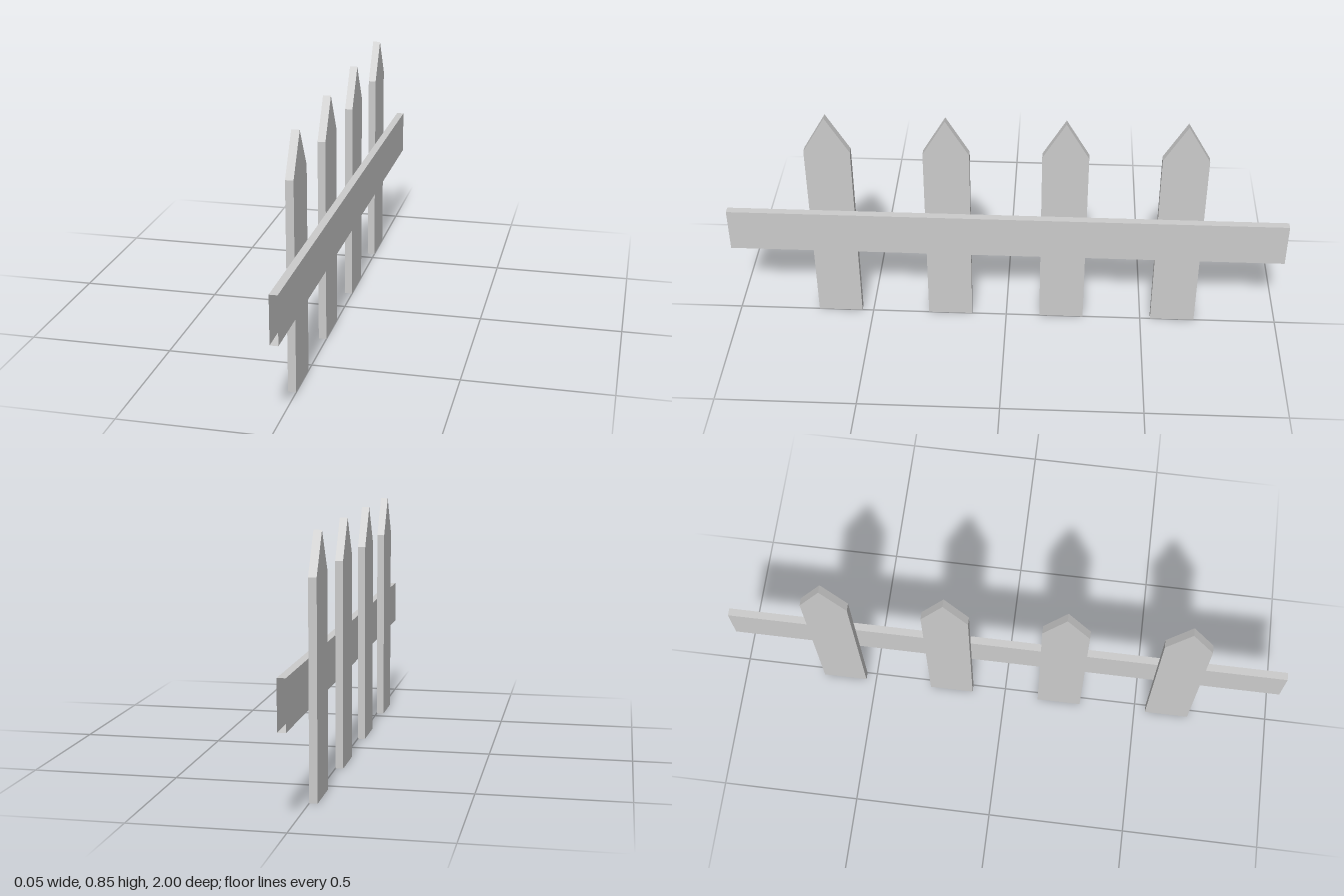
import * as THREE from 'three';

const THICK = 0.027;
const material = new THREE.MeshStandardMaterial({ color: 0xcccccc, flatShading: true, side: THREE.DoubleSide });

// Removes the triangles whose normal points along the given axis (leaves that side open)
function openSide(geometry, ...directions) {
  const source = geometry.index ? geometry.toNonIndexed() : geometry;
  const p = source.attributes.position;
  const tri = new THREE.Triangle();
  const normal = new THREE.Vector3();
  const kept = [];
  for (let i = 0; i < p.count; i += 3) {
    tri.setFromAttributeAndIndices(p, i, i + 1, i + 2);
    tri.getNormal(normal);
    if (directions.some((d) => normal.dot(d) > 0.99)) continue;
    kept.push(...tri.a.toArray(), ...tri.b.toArray(), ...tri.c.toArray());
  }
  const result = new THREE.BufferGeometry();
  result.setAttribute('position', new THREE.Float32BufferAttribute(kept, 3));
  result.computeVertexNormals();
  return result;
}

// Pointed board, hollow and open at the foot
function picketGeometry() {
  const w = 0.081;
  const outline = new THREE.Shape([
    new THREE.Vector2(-w, 0),
    new THREE.Vector2(w, 0),
    new THREE.Vector2(w, 0.715),
    new THREE.Vector2(0, 0.853),
    new THREE.Vector2(-w, 0.715),
  ]);
  const board = new THREE.ExtrudeGeometry(outline, { depth: THICK, bevelEnabled: false });
  board.rotateY(-Math.PI / 2);
  return openSide(board, new THREE.Vector3(0, -1, 0));
}

export function createModel() {
  const fence = new THREE.Group();
  fence.name = 'picketFence';

  // Four evenly spaced pickets behind the rail
  const picket = picketGeometry();
  for (let i = 0; i < 4; i++) {
    const mesh = new THREE.Mesh(picket, material);
    mesh.name = `picket${i + 1}`;
    mesh.position.z = 0.623 - i * 0.414;
    fence.add(mesh);
  }

  // Long rail, hollow and open at both ends
  const box = new THREE.BoxGeometry(THICK, 0.162, 2);
  const rail = new THREE.Mesh(
    openSide(box, new THREE.Vector3(0, 0, 1), new THREE.Vector3(0, 0, -1)),
    material,
  );
  rail.name = 'rail';
  rail.position.set(THICK / 2, 0.382, 0);
  fence.add(rail);

  return fence;
}
